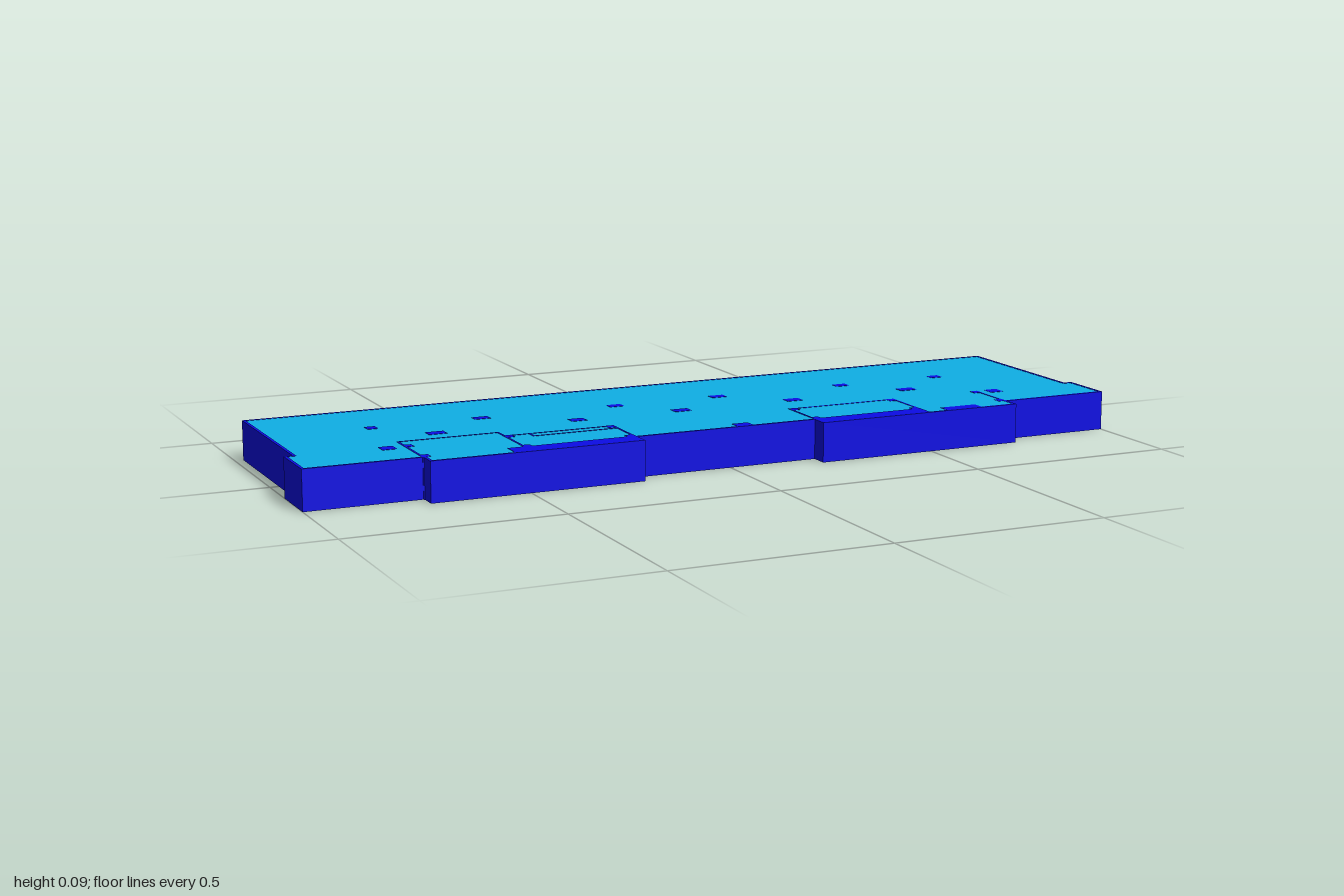
import * as THREE from 'three';

const H = 0.093;      // storey height
const WALL = 0.007;   // outer wall thickness
const LINE = 0.005;   // partition thickness
const RECESS = 0.0007; // floor fill sits just inside the wall height

// Plan outline as (x, z) points, inset by t
function outline(t) {
  return [
    [-0.98 + t, -0.292 + t], [0.98 - t, -0.292 + t],
    [0.98 - t, 0.115 + t], [1 - t, 0.115 + t], [1 - t, 0.25 - t],
    [0.73 - t, 0.25 - t], [0.73 - t, 0.292 - t],
    [0.215 + t, 0.292 - t], [0.215 + t, 0.25 - t],
    [-0.23 - t, 0.25 - t], [-0.23 - t, 0.292 - t],
    [-0.73 + t, 0.292 - t], [-0.73 + t, 0.25 - t],
    [-1 + t, 0.25 - t], [-1 + t, 0.115 + t], [-0.98 + t, 0.115 + t],
  ].map(([x, z]) => new THREE.Vector2(x, z));
}

// Extrude a plan shape between two heights
function extrudePlan(shape, bottom, top) {
  const geo = new THREE.ExtrudeGeometry(shape, { depth: top - bottom, bevelEnabled: false });
  return geo.rotateX(Math.PI / 2).translate(0, top, 0);
}

export function createModel() {
  const model = new THREE.Group();
  const blue = new THREE.MeshStandardMaterial({ color: 0x0c0ce6 });
  const cyan = new THREE.MeshStandardMaterial({ color: 0x0fb0e6 });

  const add = (name, geo, mat, parent = model) => {
    const mesh = new THREE.Mesh(geo, mat);
    mesh.name = name;
    parent.add(mesh);
  };
  const group = (name) => {
    const g = new THREE.Group();
    g.name = name;
    model.add(g);
    return g;
  };
  // Full-height block given by its plan rectangle
  const block = (name, parent, x0, z0, x1, z1) => {
    const geo = new THREE.BoxGeometry(x1 - x0, H, z1 - z0);
    geo.translate((x0 + x1) / 2, H / 2, (z0 + z1) / 2);
    add(name, geo, blue, parent);
  };

  // Outer wall ring and the floor fill inside it
  const ring = new THREE.Shape(outline(0));
  ring.holes.push(new THREE.Path(outline(WALL)));
  add('outerWall', extrudePlan(ring, 0, H), blue);
  add('floorFill', extrudePlan(new THREE.Shape(outline(WALL)), RECESS, H - RECESS), cyan);

  // Free-standing columns: x, z, width, depth
  const columns = group('columns');
  [
    [-0.737, -0.09, 0.025, 0.027], [-0.473, -0.09, 0.038, 0.025], [-0.137, -0.09, 0.035, 0.025],
    [0.13, -0.09, 0.038, 0.025], [0.465, -0.09, 0.035, 0.025], [0.73, -0.09, 0.03, 0.025],
    [-0.622, 0.023, 0.043, 0.028], [-0.28, 0.023, 0.037, 0.028], [-0.018, 0.023, 0.042, 0.028],
    [0.275, 0.023, 0.04, 0.028], [0.585, 0.023, 0.043, 0.028],
    [-0.771, 0.129, 0.033, 0.033], [0.768, 0.129, 0.033, 0.033], [0.04, 0.23, 0.04, 0.03],
  ].forEach(([x, z, w, d]) => block('column', columns, x - w / 2, z - d / 2, x + w / 2, z + d / 2));

  // Small posts at the corners of the bay rooms
  const posts = group('cornerPosts');
  for (const x of [-0.722, -0.487, -0.24, 0.226, 0.487, 0.72]) {
    for (const z of [0.125, 0.235]) {
      block('cornerPost', posts, x - 0.01, z - 0.011, x + 0.01, z + 0.011);
    }
  }

  // Solid strips along the bay fronts
  const strips = group('bayFronts');
  block('leftBayFront', strips, 0.215, 0.24, 0.498, 0.292);
  block('rightBayFront', strips, -0.535, 0.24, -0.23, 0.292);
  block('smallFrontBlock', strips, 0.545, 0.255, 0.638, 0.285);

  // Thin partitions: start x, z to end x, z
  const partitions = group('partitions');
  const h = LINE / 2;
  [
    [-0.73, 0.077, -0.495, 0.077], [-0.73, 0.077, -0.73, 0.25], [-0.495, 0.077, -0.495, 0.245],
    [-0.495, 0.118, -0.232, 0.118], [-0.233, 0.118, -0.233, 0.25],
    [-0.435, 0.118, -0.435, 0.145], [-0.435, 0.145, -0.232, 0.145],
    [0.218, 0.118, 0.495, 0.118], [0.218, 0.118, 0.218, 0.25], [0.495, 0.118, 0.495, 0.245],
    [0.727, 0.118, 0.727, 0.25],
  ].forEach(([x0, z0, x1, z1]) => block('partition', partitions, x0 - h, z0 - h, x1 + h, z1 + h));

  return model;
}
